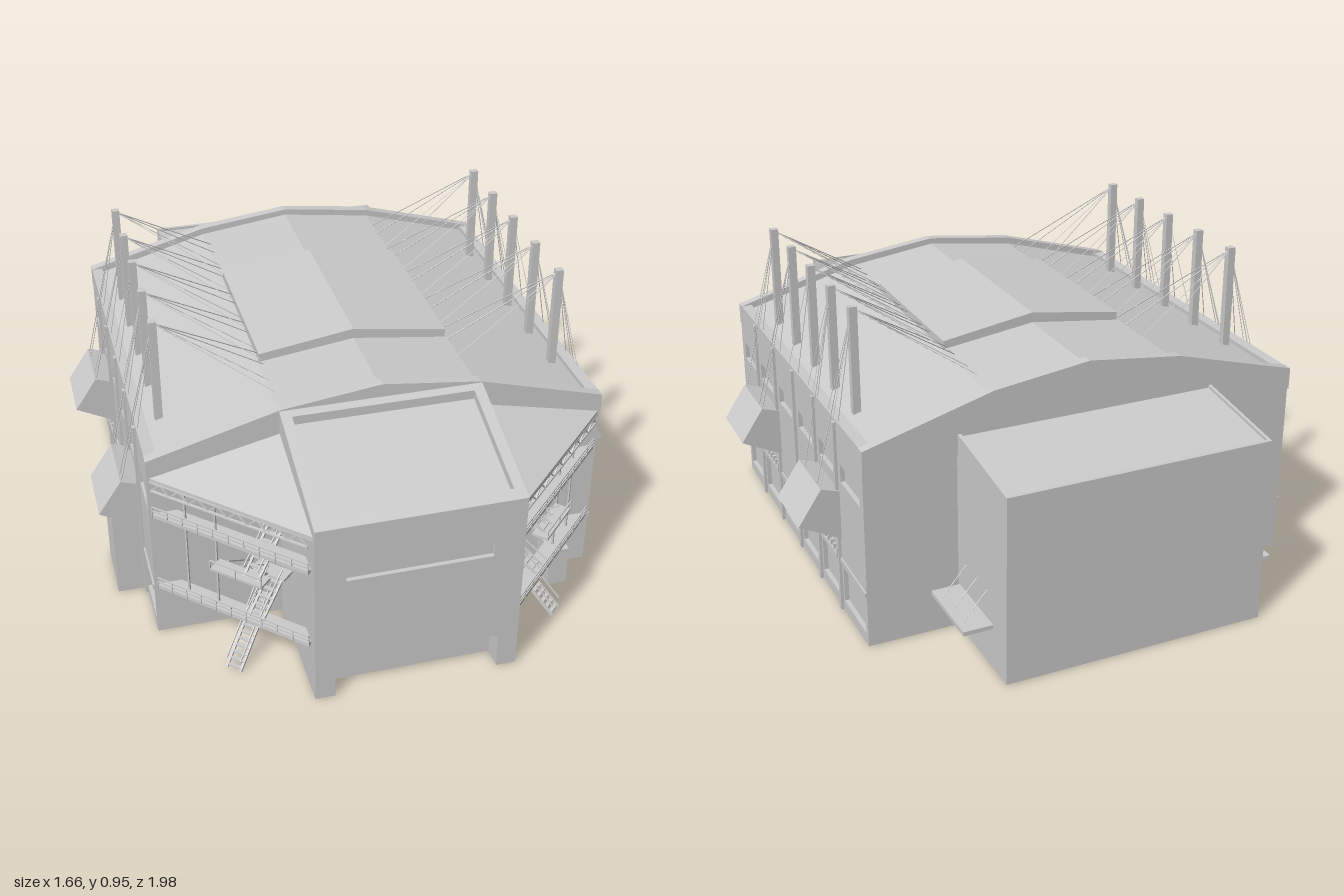
import * as THREE from 'three';
import { ConvexGeometry } from 'three/addons/geometries/ConvexGeometry.js';

const mat = new THREE.MeshStandardMaterial({ color: 0xcccccc, flatShading: true, side: THREE.DoubleSide });

function add(parent, name, geo) {
  const m = new THREE.Mesh(geo, mat);
  m.name = name;
  parent.add(m);
  return m;
}

function group(parent, name) {
  const g = new THREE.Group();
  g.name = name;
  parent.add(g);
  return g;
}

// box given by its limits on each axis
function box(parent, name, x0, x1, y0, y1, z0, z1) {
  const g = new THREE.BoxGeometry(Math.abs(x1 - x0), Math.abs(y1 - y0), Math.abs(z1 - z0));
  return add(parent, name, g.translate((x0 + x1) / 2, (y0 + y1) / 2, (z0 + z1) / 2));
}

const rect = (a0, a1, b0, b1) => [[a0, b0], [a1, b0], [a1, b1], [a0, b1]];
const toPts = (pts) => pts.map(([a, b]) => new THREE.Vector2(a, b));

function extrude(pts, depth, holes) {
  const shape = new THREE.Shape(toPts(pts));
  shape.holes = holes.map((h) => new THREE.Path(toPts(h)));
  return new THREE.ExtrudeGeometry(shape, { depth, bevelEnabled: false });
}

// (x, y) profile extruded along z
const prismZ = (parent, name, pts, z0, z1, holes = []) =>
  add(parent, name, extrude(pts, z1 - z0, holes).translate(0, 0, z0));

// (z, y) profile extruded along x
function prismX(parent, name, pts, xa, xb, holes = []) {
  const g = extrude(pts, Math.abs(xb - xa), holes).rotateY(-Math.PI / 2);
  return add(parent, name, g.translate(Math.max(xa, xb), 0, 0));
}

// thin rod between two points
function rod(parent, name, a, b, r, sides = 5) {
  const p = new THREE.Vector3(...a), q = new THREE.Vector3(...b);
  const d = q.clone().sub(p);
  const m = add(parent, name, new THREE.CylinderGeometry(r, r, d.length(), sides));
  m.position.copy(p).add(q).multiplyScalar(0.5);
  m.quaternion.setFromUnitVectors(new THREE.Vector3(0, 1, 0), d.normalize());
  return m;
}

const BACK = -0.655, FRONT = 0.575;
const mastZ = [-0.405, -0.217, -0.028, 0.165, 0.356];
const pilasterZ = [-0.43, -0.235, -0.03, 0.172, 0.38];
const hoodZ = [-0.341, 0.262];

function buildHall(root) {
  const hall = group(root, 'hall');
  prismZ(hall, 'hallBody', [[-0.68, 0], [0.68, 0], [0.68, 0.608], [0.3, 0.715], [0, 0.755], [-0.3, 0.715], [-0.68, 0.608]], BACK, FRONT);
  // raised parapets over both gables
  const gable = [[-0.695, 0.56], [0.695, 0.56], [0.695, 0.627], [0.3, 0.737], [0, 0.775], [-0.3, 0.737], [-0.695, 0.627]];
  prismZ(hall, 'frontParapet', gable, FRONT - 0.025, FRONT + 0.006);
  prismZ(hall, 'backParapet', gable, BACK - 0.006, BACK + 0.025);
  // raised central roof panel
  prismZ(hall, 'roofPanel', [[-0.295, 0.7], [0.295, 0.7], [0.295, 0.742], [0, 0.787], [-0.295, 0.742]], -0.28, 0.272);

  const edges = [BACK, ...pilasterZ, FRONT];
  const holes = [];
  for (let i = 0; i < 6; i++) {
    const a = edges[i], b = edges[i + 1];
    holes.push(rect(a + 0.03, b - 0.03, 0.44, 0.497), rect(a + 0.018, b - 0.018, 0.035, 0.15));
  }
  for (const s of [1, -1]) {
    prismX(hall, 'sideWall', rect(BACK, FRONT, 0, 0.627), s * 0.68, s * 0.694, holes);
    box(hall, 'sideParapet', s * 0.66, s * 0.694, 0.58, 0.627, BACK, FRONT);
    box(hall, 'wallBand', s * 0.69, s * 0.699, 0.163, 0.178, BACK, FRONT);
    for (const z of pilasterZ) box(hall, 'pilaster', s * 0.69, s * 0.703, 0, 0.62, z - 0.008, z + 0.008);
  }
}

function buildHoods(root, s) {
  for (const z of hoodZ) {
    const hood = group(root, 'windowHood');
    const p = (pts) => pts.map(([x, y]) => [s * x, y]);
    const outer = p([[0.685, 0.4], [0.75, 0.42], [0.822, 0.312], [0.69, 0.245]]);
    const core = p([[0.685, 0.4], [0.75, 0.42], [0.822, 0.312], [0.808, 0.306], [0.79, 0.325], [0.69, 0.285]]);
    prismZ(hood, 'hoodCover', core, z - 0.09, z + 0.09);
    for (const e of [-1, 1]) {
      const c = z + e * 0.0975;
      prismZ(hood, 'hoodCheek', outer, c - 0.0075, c + 0.0075);
    }
    if (s < 0 && z > 0) {
      box(hood, 'stairTower', -0.785, -0.69, 0, 0.3, z - 0.1, z + 0.1);
      continue;
    }
    // low balcony rail under the hood
    box(hood, 'balconySill', s * 0.69, s * 0.708, 0.176, 0.19, z - 0.09, z + 0.09);
    for (let i = 0; i < 7; i++) {
      const c = z - 0.084 + i * 0.028;
      box(hood, 'balconyPost', s * 0.694, s * 0.706, 0.19, 0.207, c - 0.005, c + 0.005);
    }
  }
}

function buildMasts(root, s) {
  for (const z of mastZ) {
    const g = group(root, 'mastWithCables');
    box(g, 'mast', s * 0.608, s * 0.632, 0.6, 0.95, z - 0.011, z + 0.011);
    const top = [s * 0.62, 0.943, z];
    for (const o of [-0.115, -0.05, 0.05, 0.115]) rod(g, 'roofCable', top, [s * 0.29, 0.728, z + o], 0.0016, 4);
    const nearest = hoodZ.find((h) => Math.abs(h - z) < 0.14);
    for (const o of [-0.03, 0.03]) {
      rod(g, 'backStay', top, [s * 0.69, 0.625, z + o * 1.5], 0.0014, 4);
      if (nearest !== undefined) {
        const hz = nearest + Math.sign(z - nearest) * 0.075 + o * 0.6;
        rod(g, 'hoodStay', top, [s * 0.745, 0.418, hz], 0.0014, 4);
      }
    }
  }
}

function buildTower(root) {
  const t = group(root, 'entranceTower');
  const W = 0.305;
  const top = (z) => 0.735 - (z - 0.575) * (0.135 / 0.405);
  // core with overhanging entrance recess
  prismX(t, 'towerBody', [[0.5, 0], [0.915, 0], [0.915, 0.115], [0.966, 0.115], [0.966, top(0.966) - 0.028], [0.56, top(0.56) - 0.028]], -W, W);
  prismZ(t, 'towerFrontWall',
    [[-W, 0], [-0.245, 0], [-0.245, 0.115], [0.245, 0.115], [0.245, 0], [W, 0], [W, 0.6], [-W, 0.6]],
    0.966, 0.98, [rect(-0.215, 0.215, 0.415, 0.456)]);
  // sloping rim around the sunken roof
  const strip = (z0, z1) => [[z0, top(z0) - 0.04], [z1, top(z1) - 0.04], [z1, top(z1)], [z0, top(z0)]];
  prismX(t, 'frontRim', strip(0.945, 0.98), -W, W);
  prismX(t, 'backRim', strip(0.575, 0.605), -W, W);
  for (const s of [1, -1]) {
    prismX(t, 'sideRim', strip(0.575, 0.98), s * (W - 0.032), s * W);
    box(t, 'entrancePier', s * 0.245, s * W, 0, 0.116, 0.9, 0.97);
    box(t, 'entranceHeader', s * 0.09, s * 0.235, 0.08, 0.11, 0.91, 0.922);
  }
}

function buildWing(root, s) {
  const w = group(root, 'stairWing');
  // point along the open diagonal edge (t), set back inwards by d
  const at = (t, y, d = 0) => [s * (0.315 + 0.37 * t - 0.7 * d), y, 0.945 - 0.365 * t - 0.71 * d];
  const corners = (list) => new ConvexGeometry(list.map((p) => new THREE.Vector3(...p)));
  // slab between two positions on the diagonal
  const slab = (name, t0, t1, y0, y1, d0, d1) => add(w, name, corners(
    [y0, y1].flatMap((y) => [at(t0, y, d0), at(t1, y, d0), at(t0, y, d1), at(t1, y, d1)])));

  add(w, 'wingRoof', corners([0.556, 0.57].flatMap((y) => [
    [s * 0.3, y, 0.965], [s * 0.692, y, 0.575], [s * 0.3, y, 0.57]]).concat([[s * 0.3, 0.66, 0.575]])));

  // truss under the eave
  for (const y of [0.527, 0.557]) rod(w, 'trussChord', at(0, y), at(1, y), 0.004);
  for (let i = 0; i < 16; i++) {
    const up = i % 2;
    rod(w, 'trussWeb', at(i / 16, up ? 0.557 : 0.527), at((i + 1) / 16, up ? 0.527 : 0.557), 0.0025, 4);
  }

  // two galleries with railings
  for (const y of [0.17, 0.43]) {
    slab('galleryFloor', 0, 1, y, y + 0.012, 0, 0.055);
    for (const h of [0.025, 0.038]) rod(w, 'galleryRail', at(0, y + h), at(1, y + h), 0.0028, 4);
    for (let i = 0; i <= 10; i++) rod(w, 'railPost', at(i / 10, y), at(i / 10, y + 0.038), 0.002, 4);
  }
  for (const t of [0.62, 0.82]) rod(w, 'wingColumn', at(t, 0.17, 0.03), at(t, 0.56, 0.03), 0.004);

  // zigzag stair running in and out
  const flights = [[-0.03, 0, 0.15, 0.17, 0.46], [0, 0.17, 0.13, 0.255, 0.36], [0.13, 0.255, 0, 0.34, 0.46], [0, 0.34, 0.13, 0.43, 0.36]];
  for (const [d0, y0, d1, y1, t] of flights) {
    for (const e of [-0.045, 0.045]) {
      rod(w, 'stairStringer', at(t + e, y0, d0), at(t + e, y1, d1), 0.005, 4);
      rod(w, 'stairHandrail', at(t + e, y0 + 0.035, d0), at(t + e, y1 + 0.035, d1), 0.0025, 4);
    }
    const n = Math.round((y1 - y0) / 0.014);
    for (let i = 0; i < n; i++) {
      const k = (i + 0.5) / n, d = d0 + (d1 - d0) * k, y = y0 + (y1 - y0) * k;
      slab('stairTread', t - 0.045, t + 0.045, y - 0.002, y + 0.002, d - 0.006, d + 0.006);
    }
  }
  slab('innerLanding', 0.3, 0.52, 0.25, 0.258, 0.125, 0.175);
  slab('outerLanding', 0.27, 0.6, 0.335, 0.343, -0.02, 0.03);
  for (const t of [0.27, 0.435, 0.6]) rod(w, 'landingPost', at(t, 0.335, -0.02), at(t, 0.37, -0.02), 0.002, 4);
  rod(w, 'landingRail', at(0.27, 0.37, -0.02), at(0.6, 0.37, -0.02), 0.0028, 4);
  if (s > 0) box(w, 'doorPorch', 0.53, 0.592, 0, 0.132, 0.57, 0.675);
}

function buildBackBlock(root) {
  const b = group(root, 'backBlock');
  const W = 0.412;
  prismX(b, 'backBody', [[-0.6, 0], [-0.988, 0], [-0.988, 0.574], [-0.6, 0.624]], -W, W);
  box(b, 'backRim', -W, W, 0.56, 0.584, -0.988, -0.976);
  for (const s of [1, -1]) {
    prismX(b, 'roofRim', [[-0.65, 0.6], [-0.988, 0.56], [-0.988, 0.583], [-0.65, 0.626]], s * (W - 0.01), s * W);
    // side canopy hung on thin rods
    box(b, 'canopy', s * W, s * 0.502, 0.13, 0.143, -0.9, -0.665);
    for (const z of [-0.86, -0.79, -0.715]) {
      rod(b, 'canopyRod', [s * 0.49, 0.143, z], [s * W, 0.235, z], 0.002, 4);
      box(b, 'canopyBeam', s * W, s * 0.49, 0.12, 0.132, z - 0.004, z + 0.004);
    }
  }
}

export function createModel() {
  const model = new THREE.Group();
  model.name = 'stadiumHall';
  const arena = group(model, 'arena');
  buildHall(arena);
  buildTower(arena);
  buildBackBlock(arena);
  for (const s of [1, -1]) {
    buildHoods(arena, s);
    buildMasts(arena, s);
    buildWing(arena, s);
  }
  // the whole building stands slightly turned
  arena.rotation.y = 0.023;
  return model;
}
